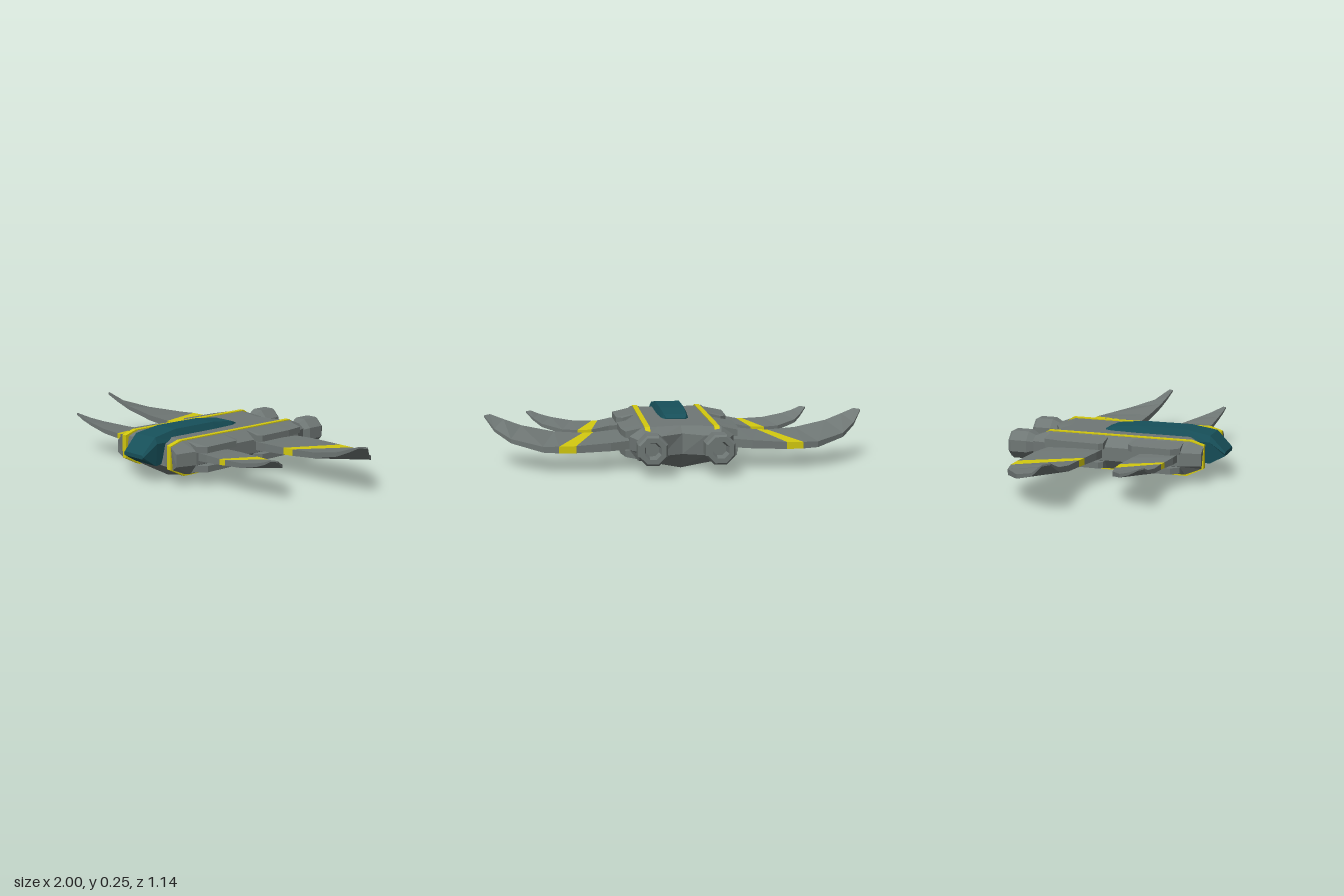
import * as THREE from 'three';

const paint = (color) => new THREE.MeshStandardMaterial({ color, flatShading: true });

// Skin a list of rings. Each ring starts upper left and runs clockwise as seen from the first ring.
function loft(rings) {
  const n = rings[0].length, last = rings.length - 1, pos = [];
  const quad = (a, b, c, d) => pos.push(...a, ...b, ...c, ...a, ...c, ...d);
  for (let i = 0; i < last; i++) {
    for (let j = 0; j < n; j++) {
      const k = (j + 1) % n;
      quad(rings[i][j], rings[i][k], rings[i + 1][k], rings[i + 1][j]);
    }
  }
  const f = rings[0], b = rings[last];
  for (let j = 0; j < n / 2 - 1; j++) {
    quad(f[j], f[n - 1 - j], f[n - 2 - j], f[j + 1]);
    quad(b[j], b[j + 1], b[n - 2 - j], b[n - 1 - j]);
  }
  const geo = new THREE.BufferGeometry();
  geo.setAttribute('position', new THREE.Float32BufferAttribute(pos, 3));
  geo.computeVertexNormals();
  return geo;
}

// Mirror a non-indexed geometry across x = 0, keeping its faces outward
function mirrored(geo) {
  const p = geo.getAttribute('position'), pos = [];
  for (let i = 0; i < p.count; i += 3) {
    for (const k of [i, i + 2, i + 1]) pos.push(-p.getX(k), p.getY(k), p.getZ(k));
  }
  const out = new THREE.BufferGeometry();
  out.setAttribute('position', new THREE.Float32BufferAttribute(pos, 3));
  out.computeVertexNormals();
  return out;
}

// Half section [a..h], top centre to keel, made into a full ring starting at upper left
function hullRing([a, b, c, d, e, f, g, h]) {
  const m = ([x, y, z]) => [-x, y, z];
  return [m(d), m(c), m(b), a, b, c, d, e, f, g, h, m(g), m(f), m(e)];
}

// Wing station: front edge x, z, y; rear edge x, z, y; thickness
const wingRing = ([fx, fz, fy, rx, rz, ry, t]) => [
  [rx, ry + t / 2, rz], [fx, fy + t / 2, fz], [fx, fy - t / 2, fz], [rx, ry - t / 2, rz],
];

export function createModel() {
  const root = new THREE.Group();
  const grey = paint(0x6f7775), teal = paint(0x17505a), yellow = paint(0xd2c80f);
  const add = (name, geo, mat) => {
    const mesh = new THREE.Mesh(geo, mat);
    mesh.name = name;
    root.add(mesh);
  };
  const addPair = (name, geo, mat) => {
    add(name + 'Left', geo, mat);
    add(name + 'Right', mirrored(geo), mat);
  };

  // Hull with twin prongs in front, a V notch behind and a shallow keel
  add('hull', loft([
    [[0, .19, .42], [.12, .195, .44], [.195, .2, .488], [.232, .17, .485],
      [.232, .105, .485], [.2, .085, .48], [.12, .085, .46], [0, .085, .45]],
    [[0, .22, .38], [.13, .22, .39], [.2, .22, .42], [.265, .175, .38],
      [.265, .105, .38], [.225, .055, .4], [.12, .03, .375], [0, 0, .34]],
    [[0, .22, -.3], [.12, .22, -.33], [.2, .22, -.36], [.265, .175, -.35],
      [.265, .105, -.35], [.225, .055, -.37], [.12, .03, -.33], [0, 0, -.29]],
    [[0, .19, -.375], [.11, .187, -.435], [.19, .185, -.45], [.215, .165, -.45],
      [.215, .11, -.45], [.19, .09, -.44], [.11, .085, -.42], [0, .085, -.375]],
  ].map(hullRing)), grey);

  // Canopy: z, top y, top half width, shoulder y, shoulder half width, bottom y, bottom half width
  add('canopy', loft([
    [.57, .15, .07, .14, .076, .13, .07],
    [.49, .232, .075, .2, .09, .085, .08],
    [.35, .255, .068, .2, .09, .1, .08],
    [.09, .255, .065, .2, .09, .18, .08],
    [-.05, .24, .06, .21, .076, .19, .07],
    [-.09, .225, .05, .21, .055, .19, .05],
  ].map(([z, ty, tw, my, mw, by, bw]) => [
    [-tw, ty, z], [tw, ty, z], [mw, my, z], [bw, by, z], [-bw, by, z], [-mw, my, z],
  ])), teal);

  // Stripes wrapping over the top, nose and belly of each prong
  const band = [[-.39, .205], [-.36, .225], [.42, .225], [.488, .204],
    [.488, .083], [.4, .039], [-.34, .039], [-.39, .07]];
  addPair('hullStripe', loft([.163, .19].map((x) => band.map(([z, y]) => [x, y, z]))), yellow);

  // Upper and lower plates clasping each wing root
  const plate = (zs, outer, yIn, yOut, yLow, yLowOut) => loft(zs.map((z, i) => [
    [.19, yIn, z], [outer[i], yOut, z], [outer[i], yLowOut, z], [.19, yLow, z],
  ]));
  const mounts = {
    front: [[.385, .345, .14, .11], [.27, .308, .3, .268]],
    rear: [[-.02, -.04, -.24, -.345], [.29, .308, .303, .285]],
  };
  for (const [name, [zs, outer]] of Object.entries(mounts)) {
    addPair(name + 'UpperMount', plate(zs, outer, .22, .2, .165, .168), grey);
    addPair(name + 'LowerMount', plate(zs, outer, .105, .102, .05, .07), grey);
  }

  // Swept wings curling upward, each with one slanted stripe between stations 2 and 3
  const wings = {
    rearWing: [
      [.24, -.03, .14, .24, -.325, .13, .045],
      [.33, -.04, .14, .36, -.365, .126, .042],
      [.435, -.065, .136, .535, -.387, .12, .036],
      [.49, -.074, .136, .62, -.387, .12, .034],
      [.64, -.07, .148, .7, -.368, .12, .03],
      [.81, -.052, .185, .86, -.25, .146, .022],
      [.9, -.038, .22, .945, -.135, .185, .016],
      [.97, -.028, .25, 1, -.058, .248, .008],
    ],
    frontWing: [
      [.24, .37, .145, .24, .175, .135, .04],
      [.32, .365, .145, .34, .155, .132, .038],
      [.39, .342, .138, .435, .122, .122, .03],
      [.425, .336, .138, .51, .122, .122, .028],
      [.54, .337, .145, .59, .14, .126, .024],
      [.65, .343, .168, .7, .215, .15, .018],
      [.71, .35, .187, .745, .275, .175, .013],
      [.76, .357, .21, .786, .335, .208, .007],
    ],
  };
  for (const [name, stations] of Object.entries(wings)) {
    const rings = stations.map(wingRing);
    addPair(name + 'Inner', loft(rings.slice(0, 3)), grey);
    addPair(name + 'Stripe', loft(rings.slice(2, 4)), yellow);
    addPair(name + 'Outer', loft(rings.slice(3)), grey);
  }

  // Octagonal engines with recessed nozzles
  const profile = [[.04, .39], [.055, .425], [.08, .47], [.08, .56], [.07, .575],
    [.045, .575], [.035, .525], [0, .525]].map(([r, y]) => new THREE.Vector2(r, y));
  const engine = new THREE.LatheGeometry(profile, 8, Math.PI / 8).toNonIndexed();
  engine.rotateX(-Math.PI / 2).translate(.167, .137, 0);
  addPair('engine', engine, grey);

  return root;
}
